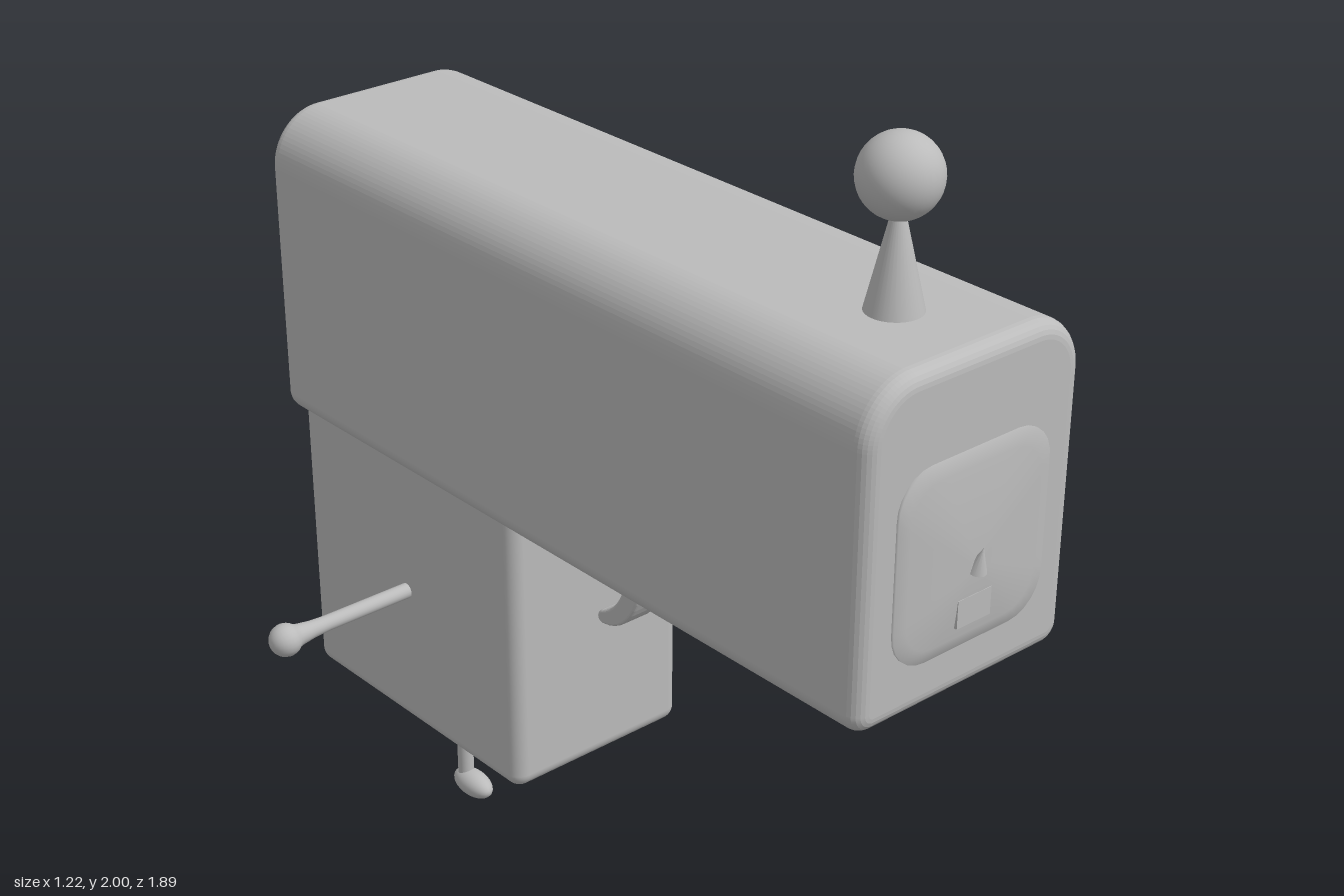
import * as THREE from 'three';
import { RoundedBoxGeometry } from 'three/addons/geometries/RoundedBoxGeometry.js';

const grey = new THREE.MeshStandardMaterial({ color: 0xbbbbbb });
grey.name = 'plain grey';

// Rounded rectangle with separate top and bottom corner radii
function roundedRect(x, y0, y1, top, bottom) {
  const s = new THREE.Shape();
  s.absarc(x - bottom, y0 + bottom, bottom, -Math.PI / 2, 0);
  s.absarc(x - top, y1 - top, top, 0, Math.PI / 2);
  s.absarc(-x + top, y1 - top, top, Math.PI / 2, Math.PI);
  s.absarc(-x + bottom, y0 + bottom, bottom, Math.PI, Math.PI * 1.5);
  s.closePath();
  return s;
}

// Shallow domed plate: shrinking copies of a rounded outline, closed at a peak
function domeGeometry() {
  const outline = roundedRect(0.2, -0.205, 0.205, 0.085, 0.085).getSpacedPoints(64).slice(0, 64);
  const n = outline.length, rings = 8, pos = [], index = [];
  for (let r = 0; r <= rings; r++) {
    const k = r === 0 ? 1 : 1 - (r - 1) / (rings - 1);
    const z = r === 0 ? 0 : 0.008 + 0.016 * (1 - k ** 1.7);
    for (const p of outline) pos.push(p.x * k, p.y * k - 0.03 * (1 - k), z);
  }
  for (let r = 0; r < rings; r++) for (let i = 0; i < n; i++) {
    const a = r * n + i, b = r * n + (i + 1) % n;
    index.push(a, b, b + n);
    if (r < rings - 1) index.push(a, b + n, a + n);
    else index.push(a, b + n, a + n);
  }
  const g = new THREE.BufferGeometry();
  g.setAttribute('position', new THREE.Float32BufferAttribute(pos, 3));
  g.setIndex(index);
  g.computeVertexNormals();
  return g;
}

export function createModel() {
  const model = new THREE.Group();
  model.name = 'longHeadedFigure';
  const add = (name, geometry, x = 0, y = 0, z = 0) => {
    const mesh = new THREE.Mesh(geometry, grey);
    mesh.name = name;
    mesh.position.set(x, y, z);
    model.add(mesh);
    return mesh;
  };

  // Long head: softer top corners, small bevel at both ends
  const b = 0.035;
  const head = new THREE.ExtrudeGeometry(roundedRect(0.283 - b, 0.94 + b, 1.655 - b, 0.09, 0.012), {
    depth: 1.85 - 2 * b, bevelThickness: b, bevelSize: b, bevelSegments: 6, curveSegments: 10,
  });
  add('head', head, 0, 0, -0.945 + b);

  // Body, its top tucked into the head
  add('body', new RoundedBoxGeometry(0.48, 0.77, 0.773, 5, 0.035), 0, 0.635, -0.5565);

  // Face
  add('facePlate', domeGeometry(), 0, 1.255, 0.903);
  const nose = add('nose', new THREE.ConeGeometry(0.02, 0.055, 12), 0, 1.237, 0.932);
  nose.rotation.x = 0.25;
  add('mouth', new THREE.BoxGeometry(0.09, 0.06, 0.008), 0, 1.13, 0.921);

  // Antenna
  add('antennaStem', new THREE.CylinderGeometry(0.008, 0.062, 0.23, 32), 0, 1.755, 0.685);
  add('antennaBall', new THREE.SphereGeometry(0.083, 32, 20), 0, 1.917, 0.685);

  // Hooked tail under the head; shape x runs backwards
  const hook = new THREE.Shape();
  hook.moveTo(-0.027, 0.98);
  hook.lineTo(-0.03, 0.87);
  hook.bezierCurveTo(-0.03, 0.76, 0.015, 0.65, 0.108, 0.642);
  hook.bezierCurveTo(0.132, 0.642, 0.132, 0.672, 0.108, 0.677);
  hook.bezierCurveTo(0.055, 0.7, 0.023, 0.77, 0.023, 0.87);
  hook.lineTo(0.023, 0.98);
  const hookGeo = new THREE.ExtrudeGeometry(hook, {
    depth: 0.064, bevelThickness: 0.008, bevelSize: 0.006, bevelOffset: -0.006, bevelSegments: 3, curveSegments: 14,
  });
  hookGeo.translate(0, 0, -0.032).rotateY(Math.PI / 2);
  add('hook', hookGeo);

  // Arm profile: thin rod flaring into a round hand
  const arm = [[0.018, 0.2], [0.018, 0.46], [0.02, 0.5], [0.025, 0.535]].map(p => new THREE.Vector2(...p));
  for (let i = 0; i <= 10; i++) {
    const a = -0.75 + (i / 10) * (Math.PI / 2 + 0.75);
    arm.push(new THREE.Vector2(Math.max(0, 0.038 * Math.cos(a)), 0.57 + 0.038 * Math.sin(a)));
  }
  for (const [side, s] of [['left', 1], ['right', -1]]) {
    add(side + 'Arm', new THREE.LatheGeometry(arm, 20), 0, 0.605, -0.56).rotation.z = -s * Math.PI / 2;
    add(side + 'Leg', new THREE.CylinderGeometry(0.019, 0.019, 0.25, 20), s * 0.095, 0.16, -0.557);
    add(side + 'Foot', new THREE.SphereGeometry(1, 24, 16), s * 0.095, 0.031, -0.53).scale.set(0.033, 0.031, 0.063);
  }
  return model;
}
